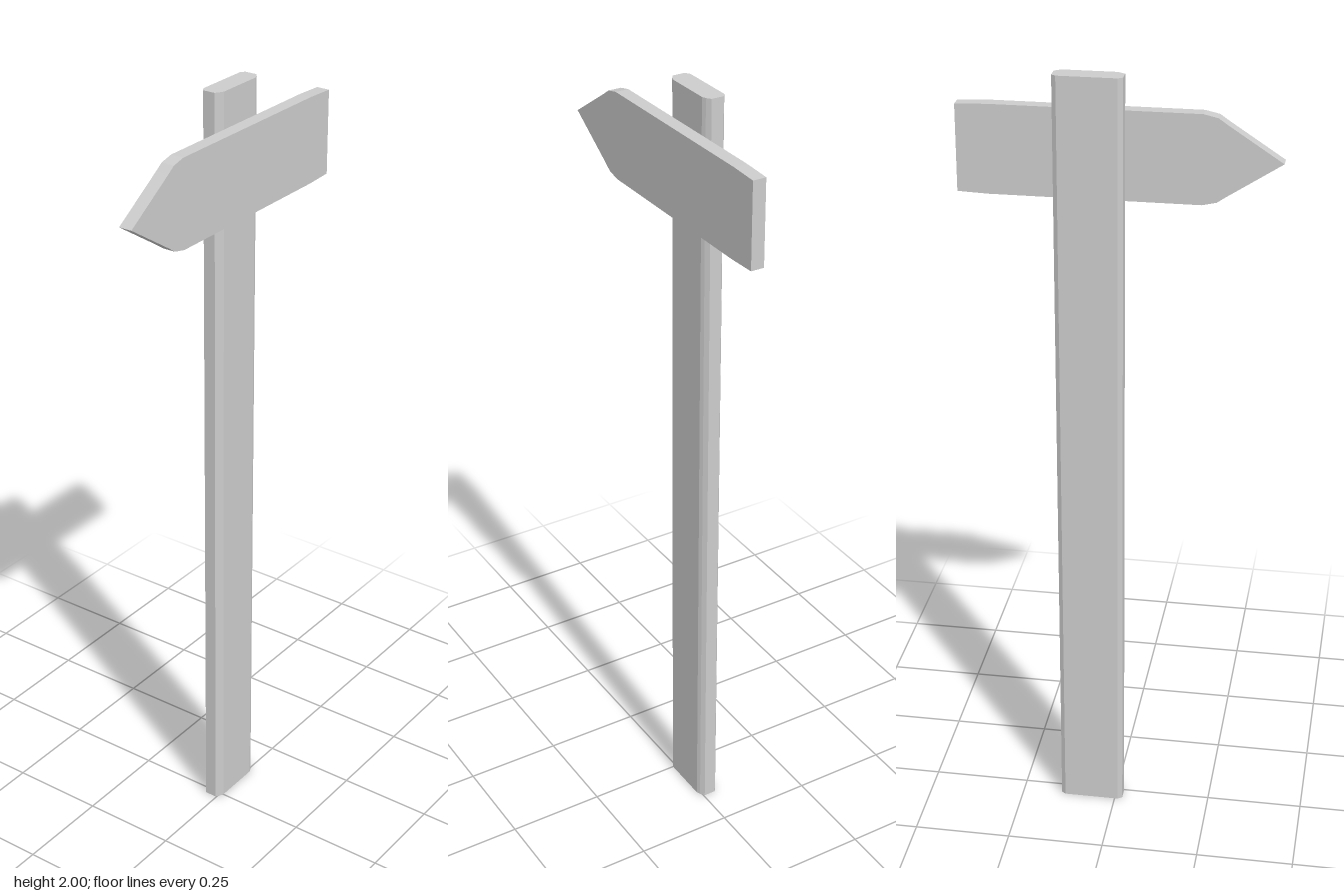
import * as THREE from 'three';

const material = new THREE.MeshStandardMaterial({ color: 0xcccccc, flatShading: true });

// Solid plank: an outline pushed straight out by the given depth
function plank(name, outline, depth) {
  const shape = new THREE.Shape(outline.map(([x, y]) => new THREE.Vector2(x, y)));
  const geometry = new THREE.ExtrudeGeometry(shape, { depth, bevelEnabled: false });
  const mesh = new THREE.Mesh(geometry, material);
  mesh.name = name;
  return mesh;
}

export function createModel() {
  const group = new THREE.Group();
  group.name = 'signpost';

  // Post: chamfered cross-section with a slightly crowned front, standing upright
  const post = plank('post', [
    [-0.02, 0.003], [-0.008, -0.005], [0.0, -0.009], [0.125, -0.009], [0.135, -0.005],
    [0.146, 0.003], [0.146, 0.035], [0.135, 0.043], [-0.008, 0.043], [-0.02, 0.035],
  ], 2);
  post.geometry.rotateX(-Math.PI / 2);
  group.add(post);

  // Arrow board: upper half outline from tip to tail, mirrored about its centre line
  const half = [[-0.255, 0.088], [-0.235, 0.102], [-0.2, 0.11], [0.31, 0.11], [0.386, 0.107]];
  const lower = half.map(([x, y]) => [x, -y]);
  const board = plank('arrowBoard', [[-0.39, 0], ...lower, ...half.reverse()], 0.034);
  board.position.set(0, 1.8, 0.009);
  group.add(board);

  return group;
}
